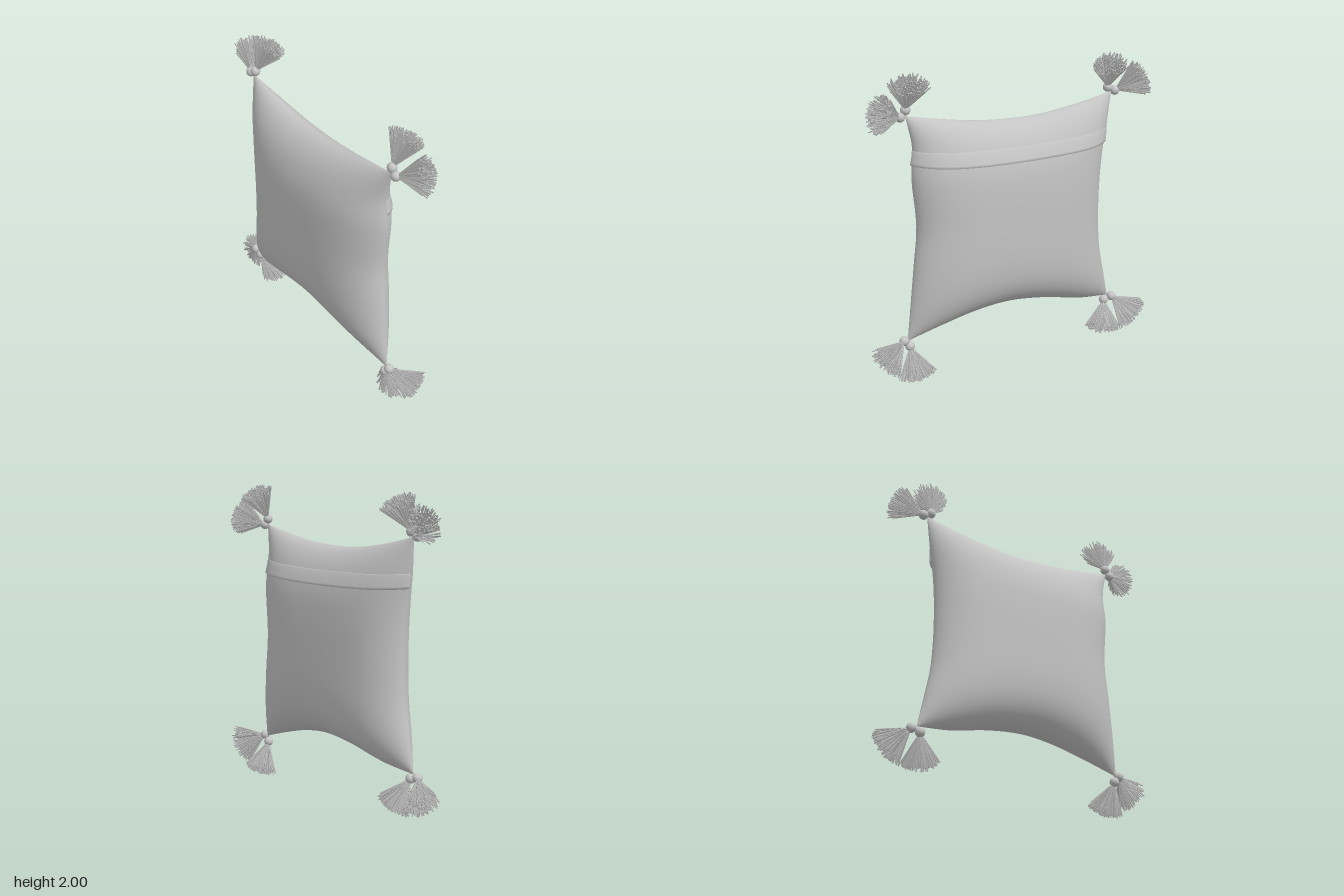
import * as THREE from 'three';
import { mergeGeometries } from 'three/addons/utils/BufferGeometryUtils.js';

const curve = (pts) => new THREE.CatmullRomCurve3(pts.map(([x, y]) => new THREE.Vector3(x, y, 0)));

// Seam outline of the cushion, one curve per side
const bottom = curve([[-0.73, 0.32], [-0.5, 0.345], [-0.22, 0.405], [0.04, 0.43], [0.28, 0.405], [0.5, 0.35], [0.73, 0.28]]);
const top = curve([[-0.715, 1.75], [-0.5, 1.7], [-0.22, 1.658], [0, 1.652], [0.24, 1.668], [0.48, 1.705], [0.7, 1.75]]);
const left = curve([[-0.73, 0.32], [-0.685, 0.52], [-0.642, 0.75], [-0.632, 1.1], [-0.65, 1.35], [-0.685, 1.56], [-0.715, 1.75]]);
const right = curve([[0.73, 0.28], [0.7, 0.52], [0.67, 0.78], [0.645, 1.03], [0.668, 1.35], [0.66, 1.55], [0.7, 1.75]]);

// Point on the cushion; u and v run from -1 to 1, side is +1 (front) or -1 (back)
function cushionPoint(u, v, side) {
  const s = (u + 1) / 2, t = (v + 1) / 2;
  const p = new THREE.Vector3()
    .addScaledVector(bottom.getPoint(s), 1 - t).addScaledVector(top.getPoint(s), t)
    .addScaledVector(left.getPoint(t), 1 - s).addScaledVector(right.getPoint(t), s)
    .addScaledVector(bottom.getPoint(0), -(1 - s) * (1 - t)).addScaledVector(bottom.getPoint(1), -s * (1 - t))
    .addScaledVector(top.getPoint(0), -(1 - s) * t).addScaledVector(top.getPoint(1), -s * t);
  const across = Math.max(0, 1 - Math.abs(u) ** 3.2) ** 0.6;
  const upward = Math.max(0, 1 - Math.abs(v) ** (v > 0 ? 2.4 : 3.8)) ** 0.6;
  p.z = side * (side > 0 ? 0.207 : 0.2) * across * upward;
  return p;
}

// Smooth surface from a grid of points, flipped when it faces backwards
function gridSurface(nu, nv, pointAt, flip) {
  const pos = [], index = [];
  for (let j = 0; j <= nv; j++)
    for (let i = 0; i <= nu; i++) pos.push(...pointAt(i / nu, j / nv).toArray());
  for (let j = 0; j < nv; j++)
    for (let i = 0; i < nu; i++) {
      const a = j * (nu + 1) + i, b = a + 1, c = a + nu + 1, d = c + 1;
      if (flip) index.push(a, c, b, b, c, d);
      else index.push(a, b, c, b, d, c);
    }
  const g = new THREE.BufferGeometry();
  g.setAttribute('position', new THREE.Float32BufferAttribute(pos, 3));
  g.setIndex(index);
  g.computeVertexNormals();
  return g;
}

// Grid parameter packed closer together near the seams
const eased = (t) => Math.sin((t - 0.5) * Math.PI);

// Back flap: a strip whose lower lip stands off the cushion
const flapProfile = [[1.53, 0], [1.525, 0.005], [1.49, 0.008], [1.455, 0.013], [1.44, 0.013], [1.437, 0]];
function flapPoint(s, t) {
  const u = eased(s);
  const [level, lift] = flapProfile[Math.round(t * (flapProfile.length - 1))];
  const y = level - 0.02 * (1 - u * u);
  let v = 0.6;
  for (let k = 0; k < 6; k++) v += (y - cushionPoint(u, v, -1).y) / 0.65;
  const p = cushionPoint(u, v, -1);
  p.z -= lift * (1 - u ** 8);
  p.x += Math.sign(u) * lift * Math.abs(u) ** 6;
  return p;
}

function seededRandom(seed) {
  return () => {
    seed = (seed * 1664525 + 1013904223) % 4294967296;
    return seed / 4294967296;
  };
}

// Threads fanning from the origin around an angle in the xy plane, leaning back
function threadFan(angle, seed) {
  const rand = seededRandom(seed), threads = [];
  const upAxis = new THREE.Vector3(0, 1, 0);
  for (let i = 0; i < 260; i++) {
    const r = Math.sqrt(rand()), a = rand() * Math.PI * 2;
    const theta = angle + 0.68 * r * Math.cos(a);
    const phi = -0.48 + 0.46 * r * Math.sin(a);
    const dir = new THREE.Vector3(Math.cos(theta) * Math.cos(phi), Math.sin(theta) * Math.cos(phi), Math.sin(phi));
    const length = 0.195 + 0.04 * rand();
    const g = new THREE.CylinderGeometry(0.0045, 0.002, length, 3, 1);
    g.translate(0, length / 2, 0);
    g.rotateY(rand() * 6);
    g.applyQuaternion(new THREE.Quaternion().setFromUnitVectors(upAxis, dir));
    threads.push(g);
  }
  return mergeGeometries(threads);
}

// Knot position and fan angle in degrees, two tassels per corner
const tassels = [
  ['upperRightTassel', -0.74, 1.752, 150], ['upperRightTassel', -0.688, 1.778, 80],
  ['upperLeftTassel', 0.697, 1.785, 88], ['upperLeftTassel', 0.732, 1.745, 18],
  ['lowerLeftTassel', 0.752, 0.285, -28], ['lowerLeftTassel', 0.715, 0.243, -95],
  ['lowerRightTassel', -0.763, 0.305, -135], ['lowerRightTassel', -0.704, 0.29, -72],
];

export function createModel() {
  const fabric = new THREE.MeshStandardMaterial({ color: 0xc4c4c4 });
  fabric.name = 'grey fabric';
  const flapFabric = fabric.clone();
  flapFabric.side = THREE.DoubleSide;

  const model = new THREE.Group();
  model.name = 'cushion';
  const add = (parent, name, geometry, material = fabric) => {
    const mesh = new THREE.Mesh(geometry, material);
    mesh.name = name;
    parent.add(mesh);
    return mesh;
  };

  // Cushion panels and flap
  for (const [name, side] of [['frontPanel', 1], ['backPanel', -1]])
    add(model, name, gridSurface(48, 48, (s, t) => cushionPoint(eased(s), eased(t), side), side < 0));
  add(model, 'backFlap', gridSurface(48, flapProfile.length - 1, flapPoint, false), flapFabric);

  // Corner tassels
  tassels.forEach(([name, x, y, degrees], i) => {
    const tassel = new THREE.Group();
    tassel.name = name;
    tassel.position.set(x, y, 0);
    add(tassel, 'knot', new THREE.SphereGeometry(0.031, 20, 14));
    add(tassel, 'threads', threadFan(THREE.MathUtils.degToRad(degrees), 17 + i * 101));
    model.add(tassel);
  });
  return model;
}
